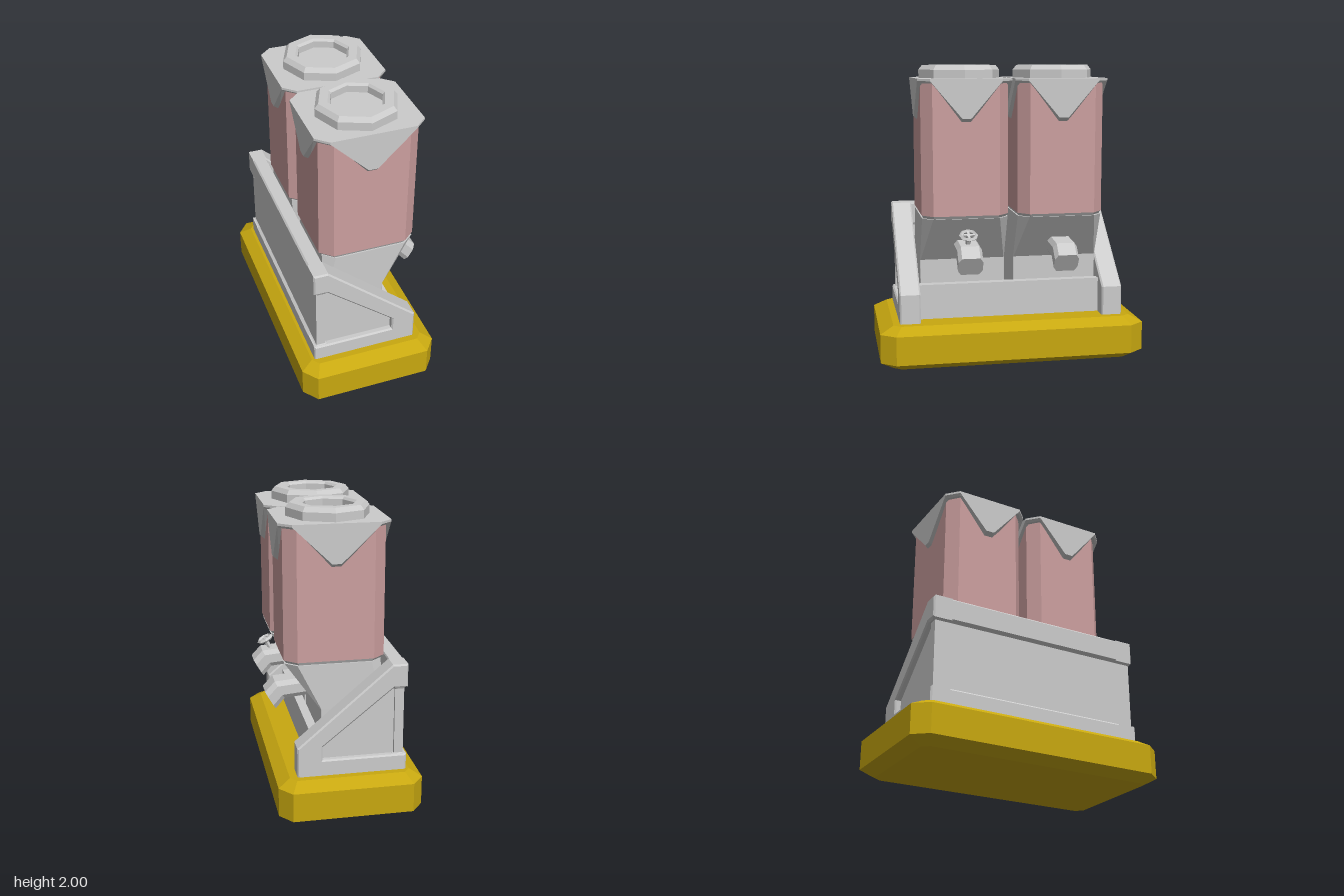
import * as THREE from 'three';

const mat = (color) => new THREE.MeshStandardMaterial({ color, flatShading: true });
const grey = mat(0xcccccc), yellow = mat(0xc8a810), pink = mat(0xcc9f9f);

function add(parent, name, geometry, material = grey) {
  const mesh = new THREE.Mesh(geometry, material);
  mesh.name = name;
  parent.add(mesh);
  return mesh;
}

// Solid skinned over rings of equal point count, closed at both ends
function loft(rings) {
  const pos = [], n = rings[0].length;
  const tri = (a, b, c) => pos.push(...a, ...b, ...c);
  for (let r = 0; r < rings.length - 1; r++) {
    for (let i = 0; i < n; i++) {
      const j = (i + 1) % n, a = rings[r], b = rings[r + 1];
      tri(a[i], a[j], b[j]);
      tri(a[i], b[j], b[i]);
    }
  }
  const lo = rings[0], hi = rings[rings.length - 1];
  for (let i = 1; i < n - 1; i++) {
    tri(lo[0], lo[i + 1], lo[i]);
    tri(hi[0], hi[i], hi[i + 1]);
  }
  const g = new THREE.BufferGeometry();
  g.setAttribute('position', new THREE.Float32BufferAttribute(pos, 3));
  g.computeVertexNormals();
  return g;
}

// Horizontal rectangle with cut corners
function oct(x0, x1, hz, cx, cz, y) {
  return [
    [x0 + cx, y, hz], [x1 - cx, y, hz], [x1, y, hz - cz], [x1, y, -hz + cz],
    [x1 - cx, y, -hz], [x0 + cx, y, -hz], [x0, y, -hz + cz], [x0, y, hz - cz],
  ];
}

function box(parent, name, x0, x1, y0, y1, hz) {
  const m = add(parent, name, new THREE.BoxGeometry(x1 - x0, y1 - y0, hz * 2));
  m.position.set((x0 + x1) / 2, (y0 + y1) / 2, 0);
  return m;
}

function plate(points, z0, z1, bevel = 0) {
  const shape = new THREE.Shape(points.map((p) => new THREE.Vector2(...p)));
  const g = new THREE.ExtrudeGeometry(shape, {
    depth: z1 - z0 - 2 * bevel, bevelEnabled: bevel > 0, bevelSegments: 1,
    bevelSize: bevel, bevelThickness: bevel, bevelOffset: -bevel,
  });
  return g.translate(0, 0, z0 + bevel);
}

// Triangular skirt hanging from one side of the lid
function flap(half, inner, outer) {
  const ring = (z, tip) => [[-0.03, tip, z], [0.03, tip, z], [half, 1.9, z], [-half, 1.9, z]];
  return loft([ring(inner, 1.63), ring(outer, 1.66)]);
}

function makeTank() {
  const tank = new THREE.Group();
  tank.name = 'tank';
  add(tank, 'container', loft([
    oct(-0.28, 0.38, 0.29, 0.08, 0.07, 1.02), oct(-0.28, 0.38, 0.29, 0.08, 0.07, 1.89),
  ]), pink);
  add(tank, 'collar', loft([
    oct(-0.26, 0.36, 0.275, 0.075, 0.065, 0.995), oct(-0.28, 0.38, 0.29, 0.08, 0.07, 1.025),
  ]));
  add(tank, 'hopper', loft([
    oct(-0.26, 0.15, 0.29, 0.004, 0.004, 0.45),
    oct(-0.26, 0.15, 0.29, 0.004, 0.004, 0.69),
    oct(-0.26, 0.375, 0.287, 0.075, 0.065, 1.0),
  ]));

  // Lid with four skirts and a round filler rim
  add(tank, 'lid', loft([
    oct(-0.3, 0.4, 0.3, 0.08, 0.07, 1.885), oct(-0.31, 0.41, 0.312, 0.08, 0.075, 1.9),
    oct(-0.31, 0.41, 0.312, 0.08, 0.075, 1.915),
  ]));
  for (let i = 0; i < 4; i++) {
    const g = i % 2 ? flap(0.235, 0.32, 0.36) : flap(0.28, 0.28, 0.312);
    const f = add(tank, 'lidSkirt', g);
    f.position.x = 0.05;
    f.rotation.y = i * Math.PI / 2;
  }
  const rim = [[0.275, 1.91], [0.275, 1.97], [0.25, 2], [0.19, 2], [0.175, 1.985], [0.175, 1.94], [0, 1.94]];
  add(tank, 'fillerRim', new THREE.LatheGeometry(rim.map((p) => new THREE.Vector2(...p)), 8))
    .position.x = 0.05;
  return tank;
}

// Bent eight-sided outlet; each section runs from its top to its bottom point
function makeSpout() {
  const sections = [
    [0.2, 0.845, 0.14, 0.725], [0.42, 0.825, 0.355, 0.705], [0.485, 0.755, 0.415, 0.635],
  ];
  return loft(sections.map(([tx, ty, bx, by]) =>
    oct(-0.5, 0.5, 0.0825, 0.25, 0.022, 0).map(([u, , z]) => [
      (tx + bx) / 2 + (bx - tx) * u, (ty + by) / 2 + (by - ty) * u, z,
    ])));
}

function makeValve() {
  const valve = new THREE.Group();
  valve.name = 'valve';
  add(valve, 'wheel', new THREE.TorusGeometry(0.051, 0.013, 4, 8).rotateX(Math.PI / 2));
  for (let i = 0; i < 2; i++) {
    add(valve, 'spoke', new THREE.BoxGeometry(0.1, 0.012, 0.014)).rotation.y = i * Math.PI / 2;
  }
  add(valve, 'stem', new THREE.CylinderGeometry(0.018, 0.018, 0.12, 6)).position.y = -0.055;
  valve.position.set(0.39, 0.893, 0.31);
  valve.rotation.z = -0.46;
  return valve;
}

export function createModel() {
  const model = new THREE.Group();
  model.name = 'twinTankDispenser';

  // Chamfered base
  add(model, 'base', loft([
    oct(-0.41, 0.38, 0.81, 0.04, 0.05, 0), oct(-0.49, 0.46, 0.9, 0.08, 0.1, 0.05),
    oct(-0.49, 0.46, 0.9, 0.08, 0.1, 0.245), oct(-0.41, 0.38, 0.81, 0.04, 0.05, 0.293),
  ]), yellow);

  // Back wall and front beam
  const frame = new THREE.Group();
  frame.name = 'frame';
  model.add(frame);
  box(frame, 'backPanel', -0.37, -0.31, 0.29, 0.95, 0.745);
  add(frame, 'backTopRail', loft([
    oct(-0.37, -0.3, 0.755, 0.01, 0.01, 0.855), oct(-0.39, -0.29, 0.765, 0.01, 0.01, 0.875),
    oct(-0.39, -0.29, 0.765, 0.01, 0.01, 1.01), oct(-0.38, -0.295, 0.755, 0.01, 0.01, 1.02),
  ]));
  add(frame, 'backBottomRail', loft([
    oct(-0.39, -0.29, 0.765, 0.01, 0.01, 0.28), oct(-0.39, -0.29, 0.765, 0.01, 0.01, 0.39),
    oct(-0.37, -0.3, 0.745, 0.01, 0.01, 0.405),
  ]));
  box(frame, 'frontBeam', 0.16, 0.22, 0.28, 0.53, 0.63);

  // Sloping end frames with recessed infill panels
  const brace = [
    [-0.39, 0.28], [0.33, 0.28], [0.33, 0.49], [-0.29, 1.02], [-0.39, 1.02],
    [-0.39, 0.865], [-0.3, 0.865], [0.165, 0.49], [0.165, 0.4], [-0.39, 0.4],
  ];
  const infill = [[-0.37, 0.3], [0.25, 0.3], [0.25, 0.45], [-0.3, 0.93], [-0.37, 0.93]];
  for (const z of [[0.625, 0.765, 0.645, 0.725], [-0.765, -0.625, -0.725, -0.645]]) {
    add(frame, 'endBrace', plate(brace, z[0], z[1], 0.01));
    add(frame, 'endPanel', plate(infill, z[2], z[3]));
  }

  // Two tanks, each with an outlet
  for (const [tankZ, spoutZ] of [[0.319, 0.306], [-0.325, -0.339]]) {
    const tank = makeTank();
    tank.position.z = tankZ;
    model.add(tank);
    add(model, 'spout', makeSpout()).position.z = spoutZ;
  }
  model.add(makeValve());
  return model;
}
